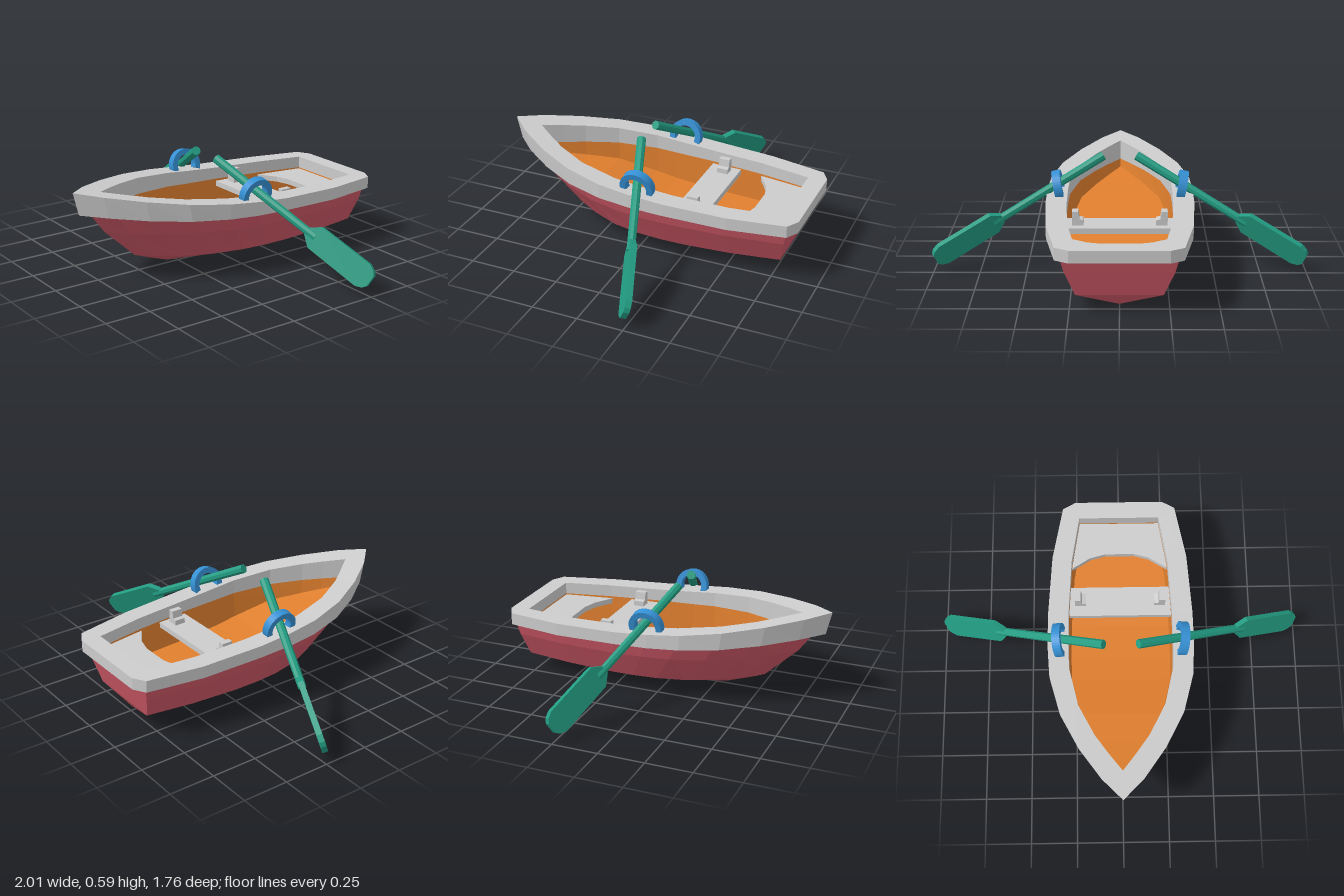
import * as THREE from 'three';

const paint = (name, color, opts = {}) => {
  const m = new THREE.MeshStandardMaterial({ color, flatShading: true, ...opts });
  m.name = name;
  return m;
};

// linear interpolation through [position, value] pairs, positions falling
function lookup(table, p) {
  if (p >= table[0][0]) return table[0][1];
  for (let i = 1; i < table.length; i++) {
    const [a, va] = table[i - 1], [b, vb] = table[i];
    if (p >= b) return va + (vb - va) * (a - p) / (a - b);
  }
  return table[table.length - 1][1];
}

// skin between rows of equal length
function skin(rows) {
  const pos = [];
  const tri = (a, b, c) => pos.push(...a, ...b, ...c);
  for (let i = 0; i < rows.length - 1; i++) {
    for (let j = 0; j < rows[i].length - 1; j++) {
      const a = rows[i][j], b = rows[i][j + 1], c = rows[i + 1][j + 1], d = rows[i + 1][j];
      tri(a, c, b);
      tri(a, d, c);
    }
  }
  const g = new THREE.BufferGeometry();
  g.setAttribute('position', new THREE.Float32BufferAttribute(pos, 3));
  g.computeVertexNormals();
  return g;
}

// half outline from bow to stern -> closed loop round both sides
const loop = (half) => [...half, ...half.slice().reverse().map(([x, y, z]) => [-x, y, z])];

export function createModel() {
  const red = paint('hull red', 0xc95664, { side: THREE.DoubleSide });
  const grey = paint('trim grey', 0xcccccc, { side: THREE.DoubleSide });
  const orange = paint('interior orange', 0xe07f2e, { side: THREE.DoubleSide });
  const green = paint('oar green', 0x229c82);
  const blue = paint('oarlock blue', 0x3590d4);

  const model = new THREE.Group();
  model.name = 'rowingBoat';
  const add = (name, geo, mat, parent = model) => {
    const m = new THREE.Mesh(geo, mat);
    m.name = name;
    parent.add(m);
    return m;
  };

  // sheer heights along the boat
  const topY = (z) => lookup([[0.88, 0.5], [0.5, 0.445], [0.2, 0.41], [0, 0.39], [-0.2, 0.375], [-0.55, 0.362], [-0.88, 0.355]], z);
  const lowY = (z) => lookup([[0.85, 0.375], [0.5, 0.345], [0, 0.315], [-0.2, 0.308], [-0.55, 0.295], [-0.88, 0.29]], z);
  const keelY = (z) => lookup([[0.525, 0.095], [0.38, 0.03], [0.26, 0.003], [0.1, 0], [-0.35, 0], [-0.743, 0.025]], z);

  // hull: planks between sheer, knuckle, chine and keel lines
  const plan = [[0, 0], [0.064, 0.28], [0.163, 0.58], [0.277, 0.83], [0.397, 0.96], [0.5, 1], [0.607, 1], [0.8, 0.93], [1, 0.78]];
  const line = (bow, stern, width, y) => plan.map(([t, f]) => {
    const z = bow + (stern - bow) * t;
    return [width * f, y(z), z];
  });
  const hullLines = [
    line(0.79, -0.83, 0.368, (z) => lowY(z) + 0.004),
    line(0.705, -0.815, 0.348, (z) => 0.24 + 0.025 * z),
    line(0.525, -0.786, 0.28, () => 0.09),
    line(0.525, -0.743, 0, keelY),
  ];
  // the stern end of each line closes across as the transom
  add('hull', skin(hullLines.map(loop)), red);

  // gunwale rim: square-section ring
  const outer = [[0, 0.88], [0.11, 0.765], [0.23, 0.59], [0.33, 0.39], [0.385, 0.18], [0.397, 0],
    [0.396, -0.19], [0.374, -0.535], [0.316, -0.84], [0.246, -0.88]];
  const inner = [[0, 0.72], [0.075, 0.62], [0.144, 0.52], [0.23, 0.35], [0.28, 0.13], [0.284, 0],
    [0.283, -0.21], [0.267, -0.51], [0.227, -0.76], [0.224, -0.78]];
  const ring = (pts, y, shift = () => 0) => {
    const half = pts.map(([x, z]) => [x, y(z), z - shift(z)]);
    const l = loop(half);
    return [...l, l[0]];
  };
  const rake = (z) => 0.035 * Math.max(0, z);
  const innerTop = ring(inner, topY);
  add('rim', skin([innerTop, ring(outer, topY), ring(outer, lowY, rake), ring(inner, lowY), innerTop]), grey);

  // inside of the boat: side walls and a floor rising to the bow
  const floorY = (z) => lookup([[0.71, 0.32], [0.52, 0.27], [0.35, 0.24], [0.13, 0.18], [-0.1, 0.14], [-0.78, 0.13]], z);
  const floorPts = inner.map(([x, z]) => [x * 0.97, z * 0.98]);
  const centre = floorPts.map(([, z]) => [0, z]);
  add('innerWalls', skin([ring(floorPts, floorY), ring(inner, lowY)]), orange);
  add('floor', skin([ring(centre, floorY), ring(floorPts, floorY)]), orange);

  // stern seat with a hollowed front edge
  const edge = [[0.268, -0.5], [0.165, -0.565], [0.08, -0.588]];
  const seatShape = new THREE.Shape([
    [0.228, -0.785], ...edge, ...edge.slice().reverse().map(([x, z]) => [-x, z]), [-0.228, -0.785],
  ].map(([x, z]) => new THREE.Vector2(x, -z)));
  const seat = new THREE.ExtrudeGeometry(seatShape, { depth: 0.03, bevelEnabled: false });
  seat.rotateX(-Math.PI / 2);
  add('sternSeat', seat, grey).position.y = 0.255;

  // rowing bench
  const bench = add('bench', new THREE.BoxGeometry(0.57, 0.03, 0.17), grey);
  bench.position.set(0, 0.28, -0.295);

  // fittings on each side, mirrored
  const axis = new THREE.Vector3(0.84, -0.453, -0.296).normalize();
  const across = new THREE.Vector3(0.038, 0.11, -0.06);
  across.addScaledVector(axis, -across.dot(axis)).normalize();
  const face = new THREE.Vector3().crossVectors(axis, across);

  for (const [side, s] of [['left', 1], ['right', -1]]) {
    const half = new THREE.Group();
    half.name = side + 'Fittings';
    half.scale.x = s;
    model.add(half);

    // stepped knee on the bench end
    const kneeShape = new THREE.Shape([[0.19, 0], [0.25, 0], [0.25, 0.075], [0.218, 0.075], [0.212, 0.035], [0.19, 0.03]]
      .map(([x, y]) => new THREE.Vector2(x, y)));
    const knee = add('benchKnee', new THREE.ExtrudeGeometry(kneeShape, { depth: 0.06, bevelEnabled: false }), grey, half);
    knee.position.set(0, 0.293, -0.33);

    // arched oarlock
    const arch = new THREE.Shape();
    arch.absarc(0, 0, 0.092, -0.4, Math.PI + 0.4, false);
    arch.absarc(0, 0, 0.06, Math.PI + 0.4, -0.4, true);
    const archGeo = new THREE.ExtrudeGeometry(arch, { depth: 0.045, bevelEnabled: false, curveSegments: 12 });
    archGeo.translate(0, 0, -0.0225);
    archGeo.rotateY(Math.PI / 2);
    const lock = add('oarlock', archGeo, blue, half);
    lock.position.set(0.332, 0.413, -0.025);
    lock.rotation.z = -0.2;

    // oar: local x runs along the shaft, local y across the blade
    const oar = new THREE.Group();
    oar.name = 'oar';
    oar.applyMatrix4(new THREE.Matrix4().makeBasis(axis, across, face).setPosition(0.1, 0.56, 0.057));
    half.add(oar);
    const shaft = new THREE.CylinderGeometry(0.025, 0.022, 0.7, 8);
    shaft.rotateZ(Math.PI / 2);
    add('shaft', shaft, green, oar).position.x = 0.34;
    const bladeHalf = [[0.635, 0.022], [0.69, 0.066], [1.005, 0.068], [1.04, 0.052], [1.056, 0.03]];
    const bladeShape = new THREE.Shape([...bladeHalf.map(([u, v]) => [u, -v]), ...bladeHalf.slice().reverse()]
      .map(([u, v]) => new THREE.Vector2(u, v)));
    const blade = new THREE.ExtrudeGeometry(bladeShape, { depth: 0.03, bevelEnabled: false });
    add('blade', blade, green, oar).position.z = -0.015;
  }
  return model;
}
